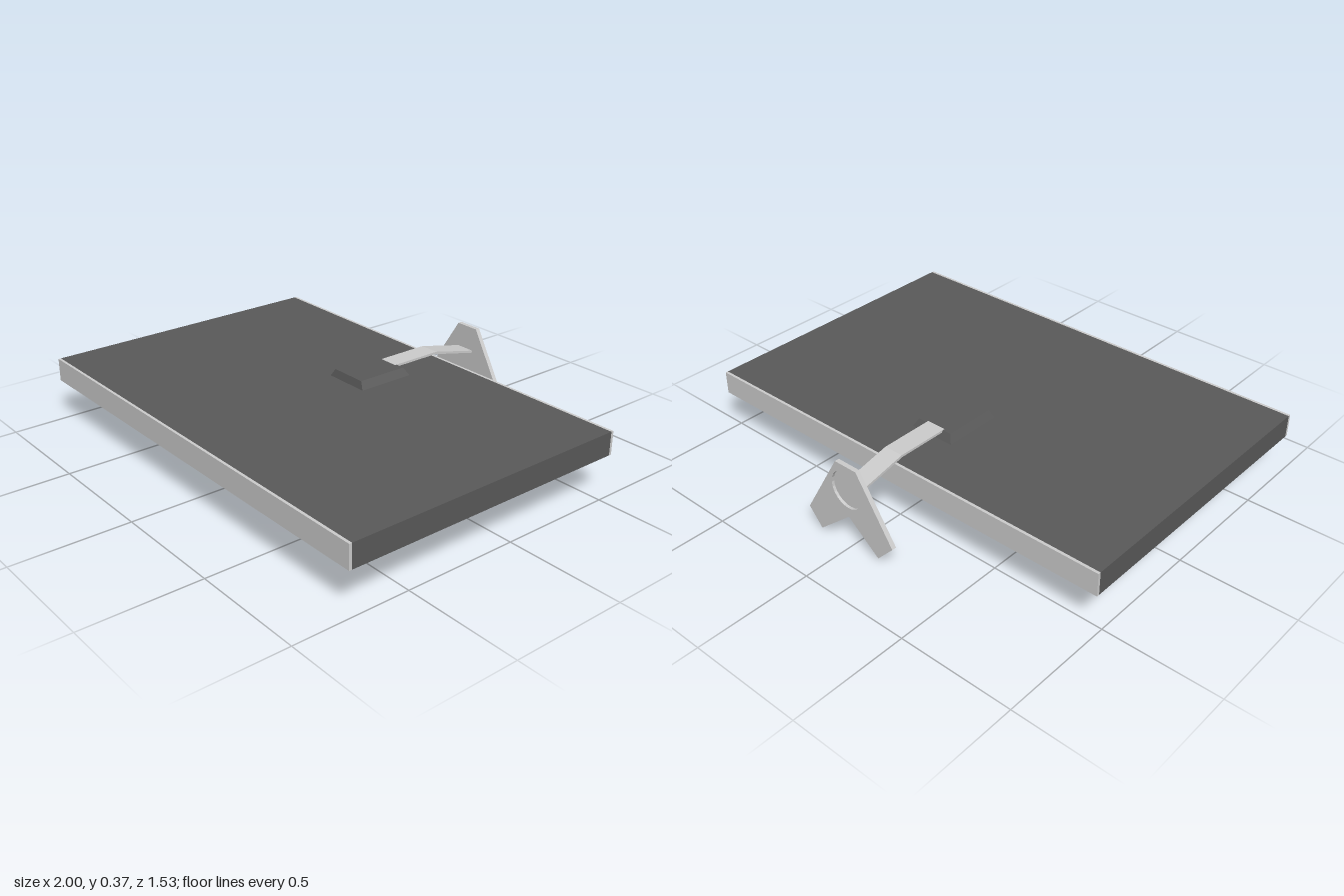
import * as THREE from 'three';

const light = new THREE.MeshStandardMaterial({ color: 0xcccccc, flatShading: true });
const dark = new THREE.MeshStandardMaterial({ color: 0x595959, flatShading: true });

function add(parent, name, geometry, material, x = 0, y = 0, z = 0) {
  const mesh = new THREE.Mesh(geometry, material);
  mesh.name = name;
  mesh.position.set(x, y, z);
  parent.add(mesh);
  return mesh;
}

const outline = (points) => new THREE.Shape(points.map(([x, y]) => new THREE.Vector2(x, y)));
const extrude = (shape, depth) =>
  new THREE.ExtrudeGeometry(shape, { depth, bevelEnabled: false, curveSegments: 12 });

// Rectangle centred on the origin
function rectangle(w, h) {
  return outline([[-w / 2, -h / 2], [w / 2, -h / 2], [w / 2, h / 2], [-w / 2, h / 2]]);
}

export function createModel() {
  const model = new THREE.Group();
  model.name = 'monitor';

  // Screen housing lying face down
  const bottom = 0.187, top = 0.288, recess = 0.012;
  const front = 0.765, back = -0.545, edge = 0.012;
  const depth = front - back - 2 * edge, midZ = (front + back) / 2;
  const housing = new THREE.Group();
  housing.name = 'housing';
  model.add(housing);
  add(housing, 'backShell', new THREE.BoxGeometry(2, top - bottom - recess, depth), dark,
    0, (top + bottom + recess) / 2, midZ);

  // Bezel around the sunken display
  const bezel = rectangle(2, depth);
  bezel.holes.push(rectangle(1.86, 1.17));
  add(housing, 'bezel', extrude(bezel, recess).rotateX(-Math.PI / 2), dark, 0, bottom, midZ);

  // Pale strips on the two long edges
  for (const z of [front - edge / 2, back + edge / 2]) {
    add(housing, 'edgeStrip', new THREE.BoxGeometry(2, top - bottom, edge), light, 0, (top + bottom) / 2, z);
  }

  // Tapered stand mount: a box with its top drawn in
  const mountGeometry = new THREE.BoxGeometry(0.21, 0.034, 0.262);
  const p = mountGeometry.attributes.position;
  for (let i = 0; i < p.count; i++) {
    if (p.getY(i) > 0) p.setXYZ(i, p.getX(i) * 0.8, p.getY(i), p.getZ(i) > 0 ? 0.121 : -0.111);
  }
  mountGeometry.computeVertexNormals();
  add(model, 'standMount', mountGeometry, dark, 0, 0.304, -0.178);

  // Bent neck: side profile in (-z, y), extruded across x
  const neck = outline([
    [0.28, 0.312], [0.515, 0.312], [0.748, 0.26],
    [0.748, 0.27], [0.52, 0.322], [0.28, 0.322],
  ]);
  add(model, 'neck', extrude(neck, 0.088).rotateY(Math.PI / 2), light, -0.044);

  // Forked foot: a solid front layer and a back layer with a round socket
  const footPoints = [
    [-0.05, 0.377], [-0.225, 0.105], [-0.145, 0.02], [0.005, 0.143],
    [0.17, 0.003], [0.235, 0.08], [0.06, 0.377],
  ];
  const foot = new THREE.Group();
  foot.name = 'foot';
  model.add(foot);
  add(foot, 'footPlate', extrude(outline(footPoints), 0.008), light, 0, 0, -0.753);
  const socketed = outline(footPoints);
  socketed.holes.push(new THREE.Path().absarc(0.005, 0.268, 0.083, 0, Math.PI * 2, true));
  add(foot, 'footSocket', extrude(socketed, 0.012), light, 0, 0, -0.765);

  return model;
}
